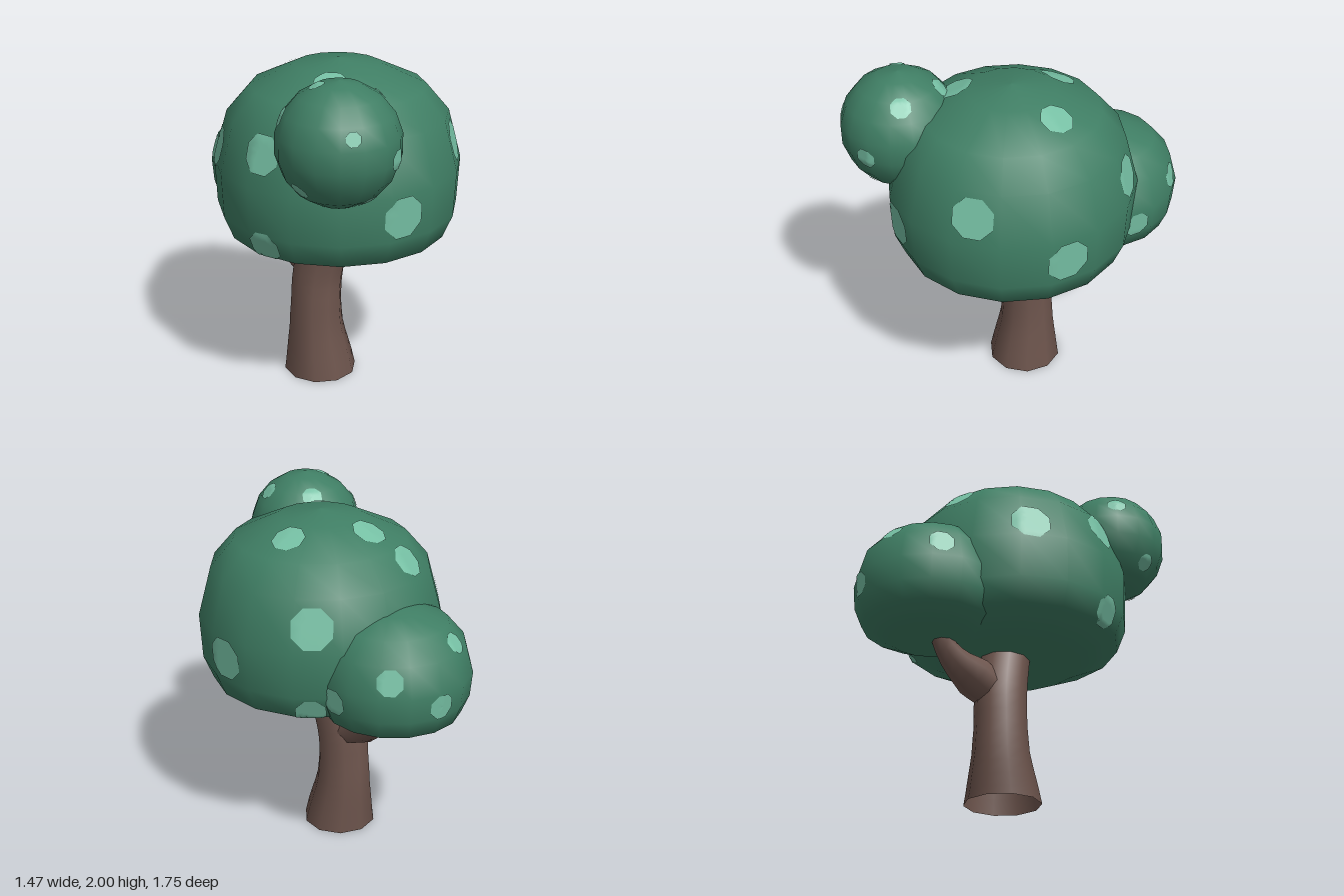
import * as THREE from 'three';

const leaf = new THREE.MeshStandardMaterial({ color: 0x3f7e64 });
leaf.name = 'leafGreen';
const mint = new THREE.MeshStandardMaterial({ color: 0x75bfa3 });
mint.name = 'spotMint';
const bark = new THREE.MeshStandardMaterial({ color: 0x70574f, side: THREE.DoubleSide });
bark.name = 'barkBrown';

const V = (a) => new THREE.Vector3(...a);

// Tapered limb: a tube whose rings are scaled along its path; stops are [x, y, z, radius]
function limb(name, stops, segments, sides) {
  const curve = new THREE.CatmullRomCurve3(stops.map((s) => V(s.slice(0, 3))));
  const geo = new THREE.TubeGeometry(curve, segments, 1, sides);
  const pos = geo.attributes.position;
  const p = new THREE.Vector3();
  for (let i = 0; i <= segments; i++) {
    const c = curve.getPointAt(i / segments);
    const t = curve.getUtoTmapping(i / segments) * (stops.length - 1);
    const k = Math.min(Math.floor(t), stops.length - 2);
    const r = THREE.MathUtils.lerp(stops[k][3], stops[k + 1][3], t - k);
    for (let j = 0; j <= sides; j++) {
      const n = i * (sides + 1) + j;
      p.fromBufferAttribute(pos, n).sub(c).multiplyScalar(r).add(c);
      if (i === 0) p.y = c.y; // level first ring
      pos.setXYZ(n, p.x, p.y, p.z);
    }
  }
  const mesh = new THREE.Mesh(geo, bark);
  mesh.name = name;
  return mesh;
}

// Leaf clump: lathed profile of [radius, y] around a vertical axis at x, z
function clump(name, profile, x, z, segments) {
  const geo = new THREE.LatheGeometry(profile.map(([r, y]) => new THREE.Vector2(r, y)), segments);
  geo.translate(x, 0, z);
  const mesh = new THREE.Mesh(geo, leaf);
  mesh.name = name;
  return mesh;
}

// Octagonal spot draped over a clump, near the point p
function spot(target, centre, p, radius) {
  const ray = new THREE.Raycaster();
  const cast = (from, dir) => {
    ray.set(from, dir);
    return ray.intersectObject(target)[0];
  };
  const out = V(p).sub(centre).normalize();
  const hit = cast(centre.clone().addScaledVector(out, 2), out.clone().negate());
  const n = hit.normal.clone().normalize();
  const u = new THREE.Vector3(0, 1, 0.01).cross(n).normalize();
  const v = n.clone().cross(u);
  const inward = n.clone().negate();
  const rings = 4, around = 16;
  const verts = [], index = [];
  for (let i = 0; i <= rings; i++) {
    for (let j = 0; j < around; j++) {
      const a = ((j + 1) / around) * Math.PI * 2;
      const r = (radius * i / rings) * (j % 2 ? Math.cos(Math.PI / 8) : 1);
      const q = hit.point.clone().addScaledVector(u, r * Math.cos(a)).addScaledVector(v, r * Math.sin(a));
      const h = cast(q.clone().addScaledVector(n, 0.5), inward);
      (h ? h.point : q).addScaledVector(n, 0.006).toArray(verts, verts.length);
      if (i === 0) continue;
      const k = (j + 1) % around, b = (i - 1) * around, c = i * around;
      index.push(b + j, c + j, c + k);
      if (i > 1) index.push(b + j, c + k, b + k);
    }
  }
  const geo = new THREE.BufferGeometry();
  geo.setAttribute('position', new THREE.Float32BufferAttribute(verts, 3));
  geo.setIndex(index);
  geo.computeVertexNormals();
  const mesh = new THREE.Mesh(geo, mint);
  mesh.name = 'leafSpot';
  return mesh;
}

export function createModel() {
  const tree = new THREE.Group();
  tree.name = 'tree';

  // Trunk with flared foot, and the branch at the back
  tree.add(limb('trunk', [
    [0.01, 0, 0.015, 0.218], [0.003, 0.27, -0.01, 0.165], [0.003, 0.45, -0.012, 0.152],
    [0.01, 0.64, -0.003, 0.152], [0.028, 0.87, 0.05, 0.148], [0.04, 1.0, 0.09, 0.148],
  ], 14, 10));
  tree.add(limb('branch', [
    [0.03, 0.64, -0.03, 0.1], [0.055, 0.71, -0.17, 0.122], [0.085, 0.775, -0.29, 0.085],
    [0.11, 0.87, -0.375, 0.06], [0.12, 1.0, -0.42, 0.055],
  ], 10, 8));

  // Round profile for the small front clump
  const ball = [];
  for (let i = 0; i <= 9; i++) {
    const a = (i / 9) * Math.PI;
    ball.push([0.333 * Math.sin(a), 1.67 - 0.333 * Math.cos(a)]);
  }

  const clumps = [
    {
      name: 'mainCanopy', x: 0.035, y: 1.3, z: 0.125, sides: 16,
      profile: [[0, 0.875], [0.4, 0.878], [0.63, 0.985], [0.685, 1.12], [0.697, 1.38],
        [0.62, 1.66], [0.49, 1.81], [0.24, 1.925], [0, 1.96]],
      spots: [[0.37, 1.52, 0.66, 0.12], [-0.15, 1.255, 0.77, 0.125], [0.7, 1.255, 0.3, 0.125],
        [0.61, 1.52, -0.22, 0.12], [0.04, 1.92, -0.22, 0.1], [0.36, 1.87, 0.1, 0.095],
        [-0.21, 1.88, 0.3, 0.1], [-0.02, 1.77, -0.44, 0.1], [-0.5, 1.48, -0.32, 0.12],
        [-0.61, 1.57, 0.18, 0.115], [-0.61, 1.05, 0.2, 0.1], [0.6, 1.02, -0.2, 0.09]],
    },
    {
      name: 'backClump', x: 0.16, y: 1.15, z: -0.44, sides: 16,
      profile: [[0, 0.878], [0.23, 0.884], [0.385, 0.955], [0.428, 1.06], [0.44, 1.2],
        [0.395, 1.365], [0.3, 1.475], [0.15, 1.54], [0, 1.56]],
      spots: [[0.12, 1.4, -0.785, 0.065], [-0.18, 1.3, -0.7, 0.075], [0.52, 1.29, -0.645, 0.075],
        [0.57, 1.12, -0.335, 0.08], [0.32, 1.13, -0.85, 0.075]],
    },
    {
      name: 'frontClump', x: -0.407, y: 1.67, z: 0.545, sides: 16, profile: ball,
      spots: [[-0.575, 1.79, 0.8, 0.042], [-0.3, 1.63, 0.86, 0.06], [-0.4, 1.41, 0.74, 0.058],
        [-0.21, 1.91, 0.67, 0.058], [-0.25, 1.91, 0.38, 0.06], [-0.5, 1.98, 0.48, 0.045],
        [-0.62, 1.82, 0.34, 0.058], [-0.66, 1.49, 0.53, 0.055]],
    },
  ];

  // Leaf clumps and their spots
  for (const c of clumps) {
    const mesh = clump(c.name, c.profile, c.x, c.z, c.sides);
    tree.add(mesh);
    const centre = V([c.x, c.y, c.z]);
    for (const [x, y, z, r] of c.spots) tree.add(spot(mesh, centre, [x, y, z], r));
  }
  return tree;
}
